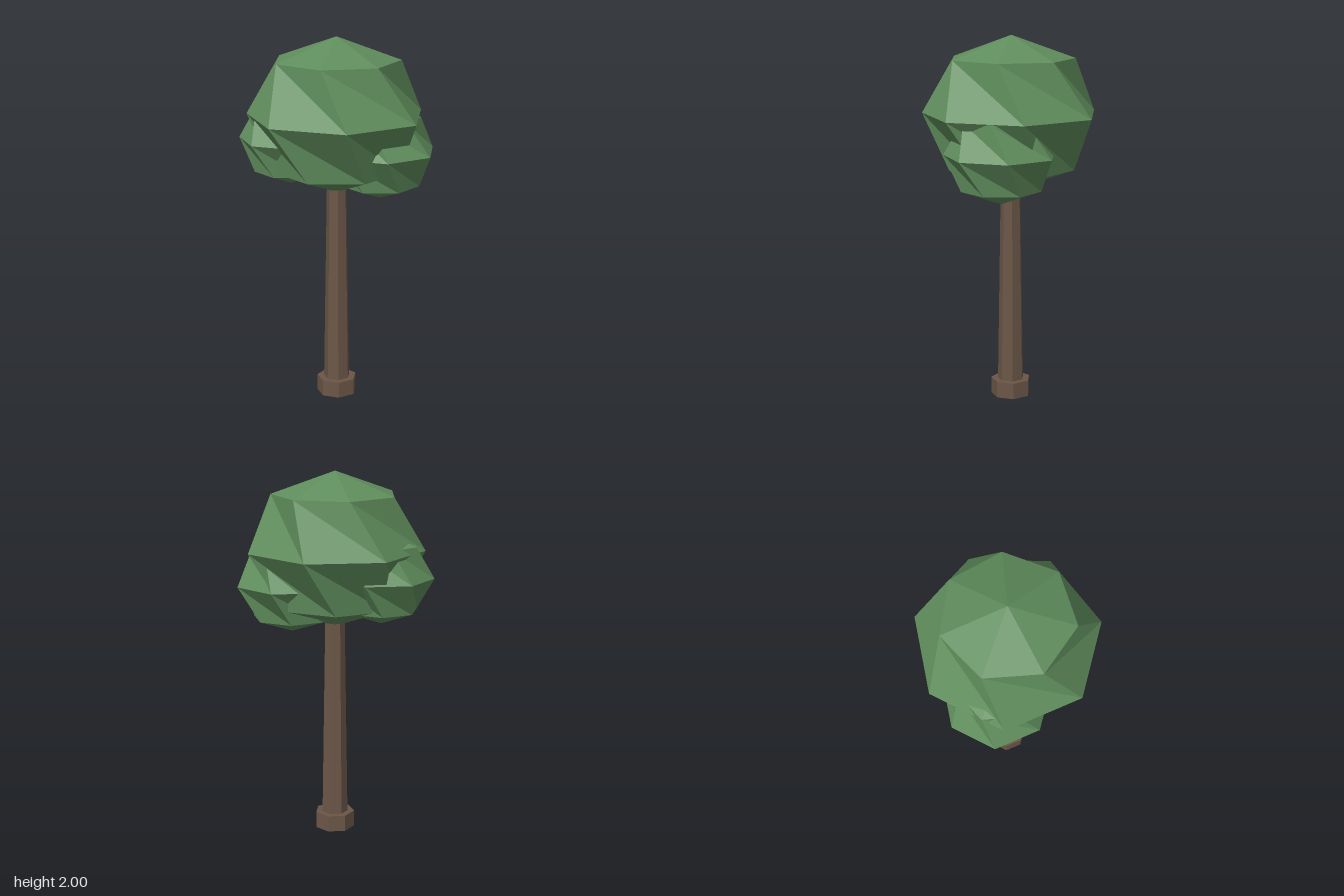
import * as THREE from 'three';

const SIDES = 7;
const deg = THREE.MathUtils.degToRad;

// Low-poly ball whose rings are twisted about the vertical axis
function twistedBall(radius, halfHeight) {
  const geo = new THREE.SphereGeometry(1, SIDES, 4);
  const p = geo.attributes.position;
  for (let i = 0; i < p.count; i++) {
    const x = p.getX(i), y = p.getY(i), z = p.getZ(i);
    const a = deg(-16.2 + 19.7 * (y / Math.SQRT1_2));
    p.setXYZ(i,
      radius * (x * Math.cos(a) - z * Math.sin(a)),
      halfHeight * y,
      radius * (x * Math.sin(a) + z * Math.cos(a)));
  }
  const flat = geo.toNonIndexed();
  flat.computeVertexNormals();
  return flat;
}

export function createModel() {
  const tree = new THREE.Group();
  tree.name = 'tree';
  const bark = new THREE.MeshStandardMaterial({ color: 0x6b5647, flatShading: true });
  const leaf = new THREE.MeshStandardMaterial({ color: 0x5f8d5c, flatShading: true });
  const cx = -0.018, cz = 0.018;

  function add(name, geo, mat, x, y, z) {
    const mesh = new THREE.Mesh(geo, mat);
    mesh.name = name;
    mesh.position.set(x, y, z);
    tree.add(mesh);
  }

  // Seven-sided column standing on y = bottom
  function column(name, rTop, rBottom, bottom, top) {
    const h = top - bottom;
    const geo = new THREE.CylinderGeometry(rTop, rBottom, h, SIDES, 1, false, deg(80.5));
    add(name, geo, bark, cx, bottom + h / 2, cz);
  }
  column('trunkBase', 0.11, 0.11, 0, 0.09);
  column('trunk', 0.053, 0.074, 0, 1.3);

  // Crown: one large leaf mass and two smaller ones low on the sides
  [
    ['mainCrown', 0.485, 0.42, cx, 1.58, 0.014],
    ['frontLeftFoliage', 0.305, 0.26, 0.182, 1.39, 0.133],
    ['backRightFoliage', 0.283, 0.25, -0.198, 1.44, -0.17],
  ].forEach(([name, r, h, x, y, z]) => add(name, twistedBall(r, h), leaf, x, y, z));

  return tree;
}
